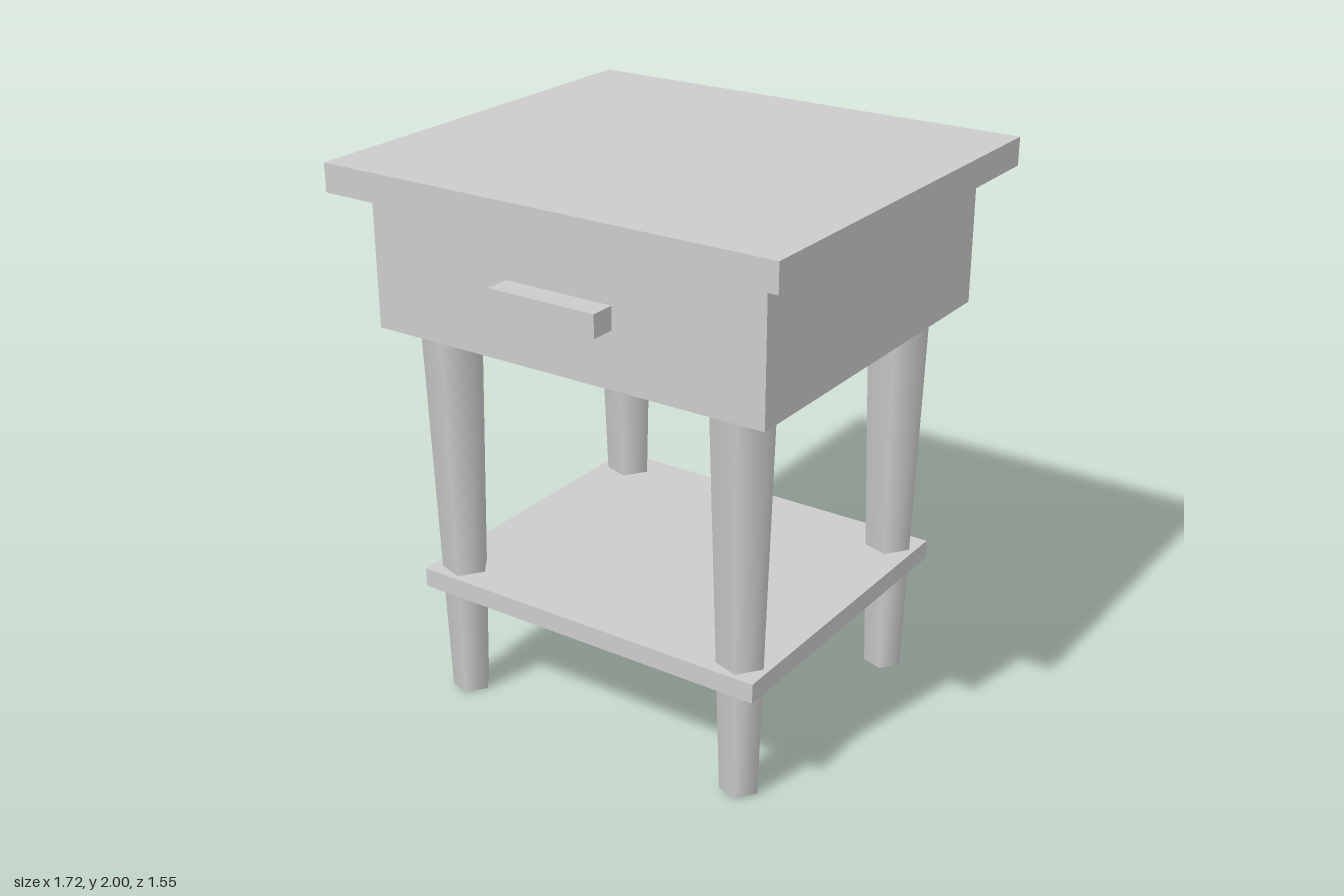
import * as THREE from 'three';

export function createModel() {
  const model = new THREE.Group();
  model.name = 'sideTable';
  const paint = new THREE.MeshStandardMaterial({ color: 0xcccccc });
  paint.name = 'greyPaint';

  const add = (name, geometry, x, y, z) => {
    const mesh = new THREE.Mesh(geometry, paint);
    mesh.name = name;
    mesh.position.set(x, y, z);
    model.add(mesh);
  };
  // Box spanning bottom to top in height, centred on x = 0
  const slab = (name, width, bottom, top, depth, z = 0) =>
    add(name, new THREE.BoxGeometry(width, top - bottom, depth), 0, (bottom + top) / 2, z);

  slab('tableTop', 1.72, 1.9, 2, 1.55);
  slab('drawerBox', 1.52, 1.42, 1.9, 1.34);
  slab('drawerHandle', 0.41, 1.62, 1.7, 0.09, 0.715);
  slab('lowerShelf', 1.38, 0.42, 0.49, 1.2);

  // Tapered five-sided legs, each with a corner pointing to +x
  const legHeight = 1.42;
  const leg = new THREE.CylinderGeometry(0.113, 0.07, legHeight, 5, 1, false, Math.PI / 2);
  for (const [side, x] of [['Left', 0.585], ['Right', -0.585]]) {
    for (const [end, z] of [['front', 0.5], ['back', -0.5]]) {
      add(`${end}${side}Leg`, leg, x, legHeight / 2, z);
    }
  }
  return model;
}
